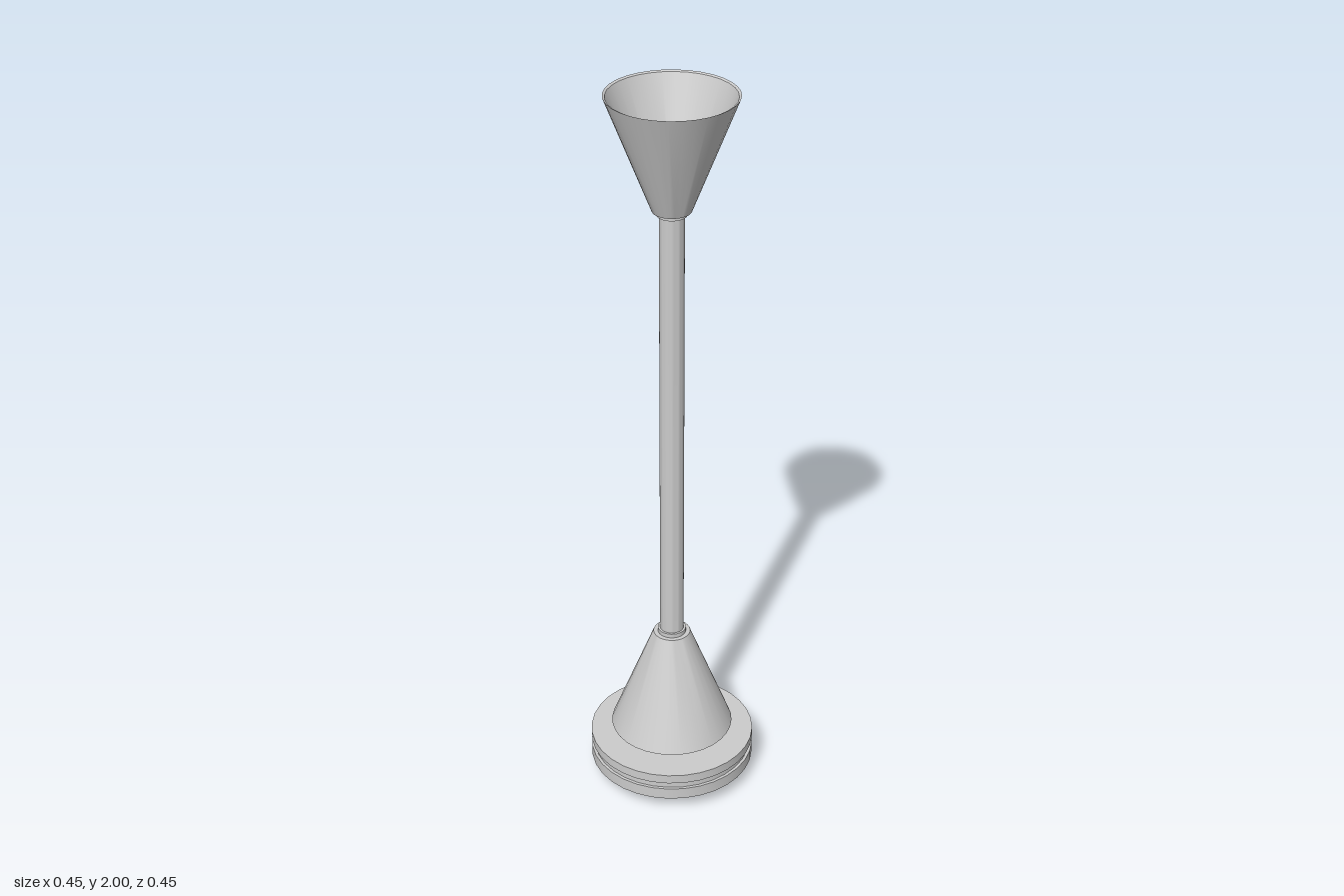
import * as THREE from 'three';
import { toCreasedNormals } from 'three/addons/utils/BufferGeometryUtils.js';

const SIDES = 32;
const material = new THREE.MeshStandardMaterial({ color: 0xcccccc, side: THREE.DoubleSide });

// Revolves a [radius, height] profile, keeping hard corners sharp
function turned(name, profile) {
  const points = profile.map(([r, y]) => new THREE.Vector2(r, y));
  const geometry = toCreasedNormals(new THREE.LatheGeometry(points, SIDES), 0.55);
  const mesh = new THREE.Mesh(geometry, material);
  mesh.name = name;
  return mesh;
}

// Hollow cone with a closed narrow end at y = 0 and a bevelled open rim at y = 0.3
function cone(name) {
  const group = new THREE.Group();
  group.name = name;
  group.add(turned(name + 'Shell', [
    [0, 0], [0.05, 0], [0.167, 0.3], [0.161, 0.297], [0.05, 0.012], [0, 0.012],
  ]));
  // Collar joining the cone to the rod
  group.add(turned(name + 'Collar', [
    [0, -0.012], [0.038, -0.012], [0.038, 0.013], [0, 0.013],
  ]));
  return group;
}

export function createModel() {
  const model = new THREE.Group();
  model.name = 'floorStand';

  // Weighted base: rounded underside and a groove around the rim
  model.add(turned('base', [
    [0, 0], [0.08, 0.001], [0.15, 0.006], [0.175, 0.013], [0.19, 0.023],
    [0.198, 0.034], [0.2, 0.045],
    [0.225, 0.045], [0.225, 0.078], [0.217, 0.078], [0.217, 0.098],
    [0.225, 0.098], [0.225, 0.124], [0, 0.124],
  ]));

  // Central rod
  model.add(turned('rod', [[0, 0.11], [0.032, 0.11], [0.032, 1.705], [0, 1.705]]));

  // Upper cone opens upward, lower cone opens downward
  const upper = cone('upperCone');
  upper.position.y = 1.7;
  const lower = cone('lowerCone');
  lower.rotation.x = Math.PI;
  lower.position.y = 0.45;
  model.add(upper, lower);

  return model;
}
